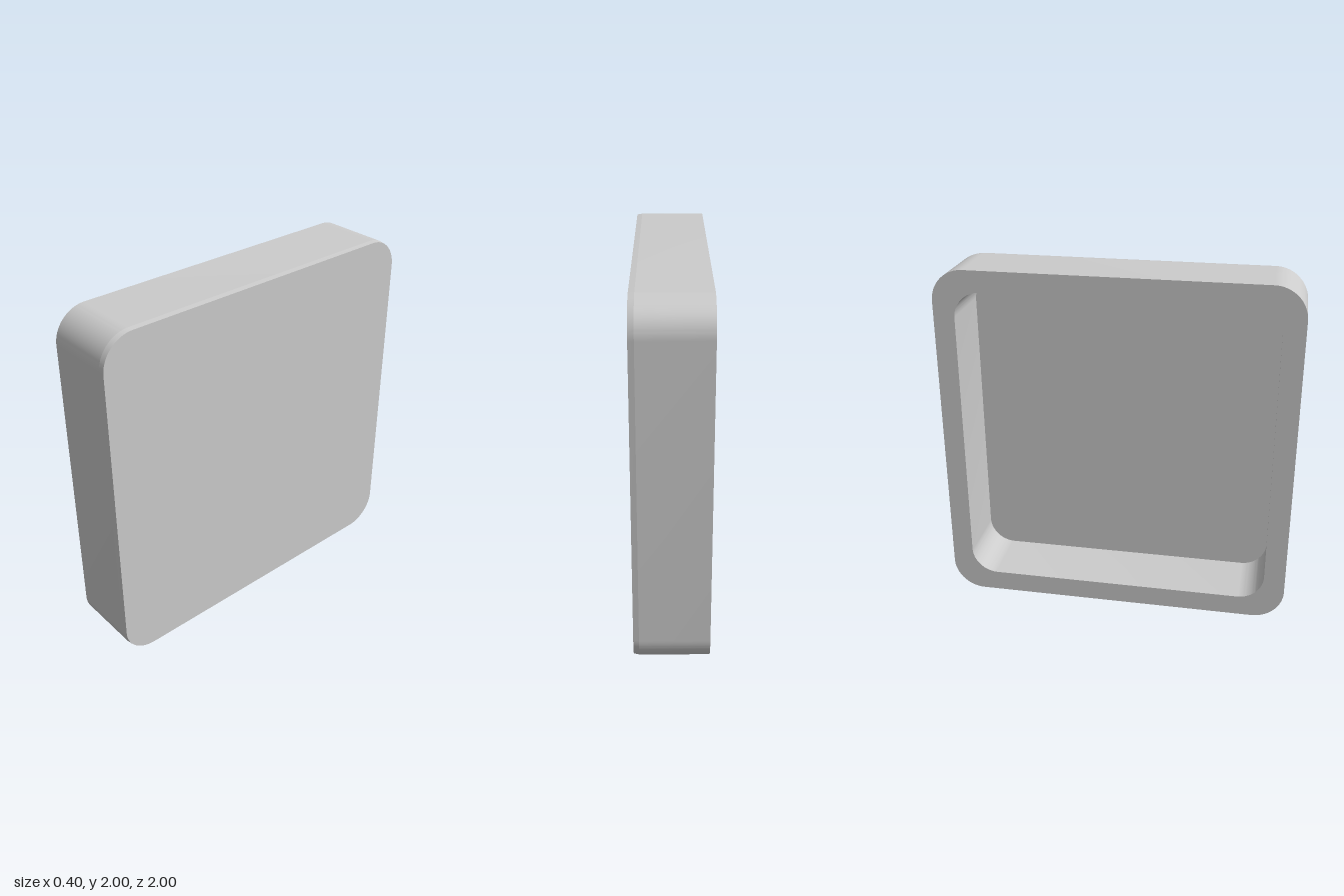
import * as THREE from 'three';
import { toCreasedNormals } from 'three/addons/utils/BufferGeometryUtils.js';

const material = new THREE.MeshStandardMaterial({ color: 0xcccccc });

// Traces a centred rounded square onto a Shape or Path
function roundedSquare(path, half, r) {
  const c = half - r;
  path.moveTo(half, -c);
  path.absarc(c, c, r, 0, Math.PI / 2, false);
  path.absarc(-c, c, r, Math.PI / 2, Math.PI, false);
  path.absarc(-c, -c, r, Math.PI, Math.PI * 1.5, false);
  path.absarc(c, -c, r, Math.PI * 1.5, Math.PI * 2, false);
  path.closePath();
  return path;
}

// Extrudes along +x from x0 to x1, scaling the far outline by taper
function slab(name, shape, x0, x1, taper = 1) {
  const depth = x1 - x0;
  const geo = new THREE.ExtrudeGeometry(shape, { depth, bevelEnabled: false, curveSegments: 14 });
  const p = geo.attributes.position;
  for (let i = 0; i < p.count; i++) {
    if (p.getZ(i) > depth / 2) p.setXY(i, p.getX(i) * taper, p.getY(i) * taper);
  }
  geo.rotateY(Math.PI / 2);
  geo.translate(x0, 1, 0);
  const mesh = new THREE.Mesh(toCreasedNormals(geo, 0.35), material);
  mesh.name = name;
  return mesh;
}

export function createModel() {
  const model = new THREE.Group();
  model.name = 'shallowTray';

  // Surrounding wall, open towards -x
  const wall = roundedSquare(new THREE.Shape(), 1, 0.18);
  wall.holes.push(roundedSquare(new THREE.Path(), 0.88, 0.15));
  model.add(slab('rimWall', wall, -0.2, 0.17));

  // Thin closing plate with a slightly drafted edge
  const plate = roundedSquare(new THREE.Shape(), 1, 0.18);
  model.add(slab('basePlate', plate, 0.17, 0.2, 0.996));

  return model;
}
